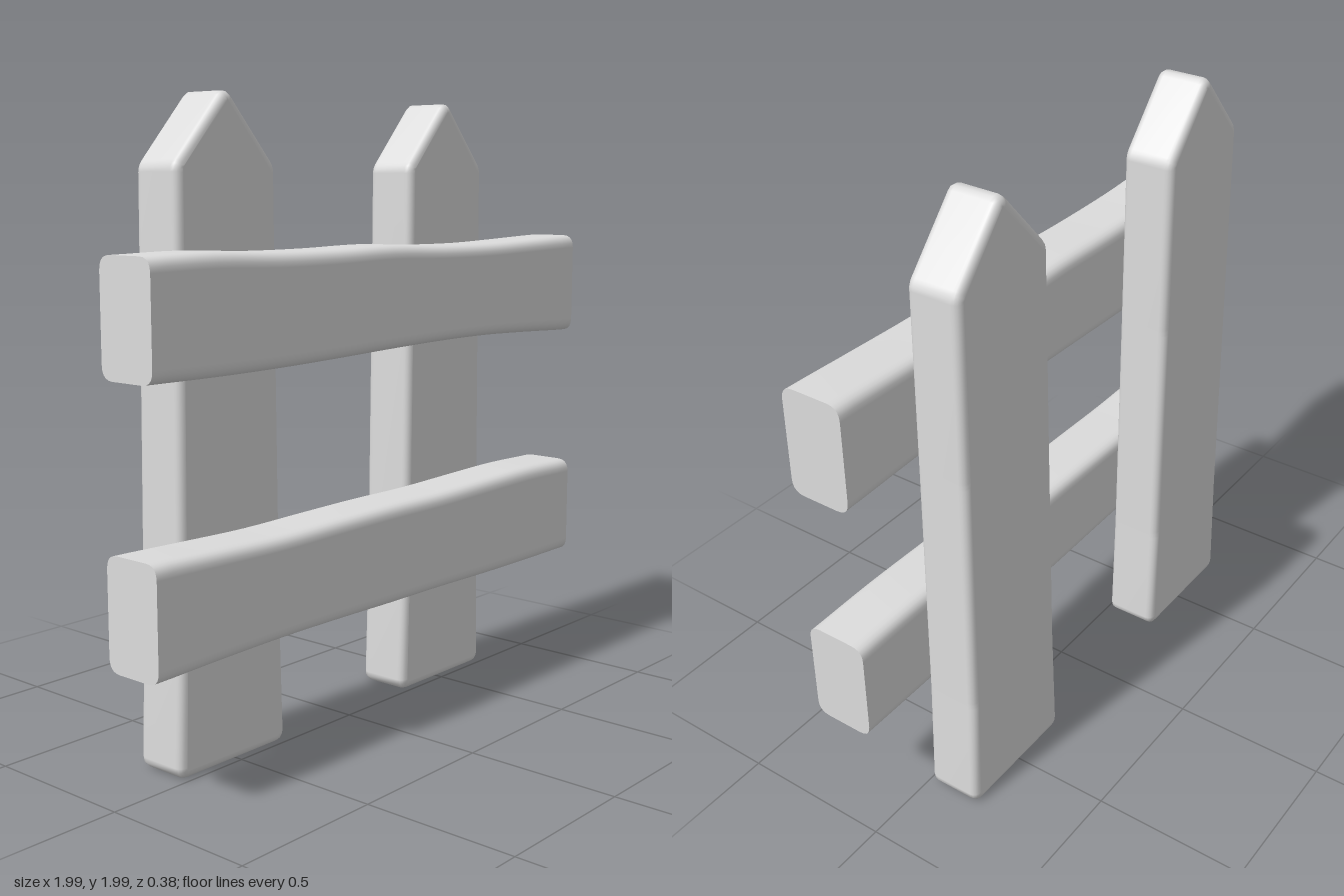
import * as THREE from 'three';
import { mergeVertices } from 'three/addons/utils/BufferGeometryUtils.js';

// Closed shape with every corner rounded by a cut of length r
function roundedShape(points, r) {
  const pts = points.map(([x, y]) => new THREE.Vector2(x, y));
  const shape = new THREE.Shape();
  pts.forEach((p, i) => {
    const prev = pts[(i + pts.length - 1) % pts.length];
    const next = pts[(i + 1) % pts.length];
    const a = p.clone().add(prev.clone().sub(p).setLength(r));
    const b = p.clone().add(next.clone().sub(p).setLength(r));
    if (i === 0) shape.moveTo(a.x, a.y);
    else shape.lineTo(a.x, a.y);
    shape.quadraticCurveTo(p.x, p.y, b.x, b.y);
  });
  shape.closePath();
  return shape;
}

// Area-weighted smooth normals; sharpCaps keeps the extrusion ends crisp
function smooth(geometry, sharpCaps) {
  geometry.deleteAttribute('normal');
  geometry.deleteAttribute('uv');
  const capCount = geometry.groups[0].count;
  if (sharpCaps) {
    const tag = new Float32Array(geometry.attributes.position.count).fill(1, 0, capCount);
    geometry.setAttribute('tag', new THREE.BufferAttribute(tag, 1));
  }
  geometry.clearGroups();
  const merged = mergeVertices(geometry, 1e-4);
  merged.deleteAttribute('tag');
  merged.computeVertexNormals();
  return merged;
}

// Pointed upright, slightly flared toward its foot
function picketGeometry() {
  const bevel = 0.025;
  const side = [[0.198, bevel], [0.187, 0.4], [0.179, 1.2], [0.175, 1.77]];
  const mirrored = side.map(([x, y]) => [-x, y]).reverse();
  const shape = roundedShape([...side, [0, 1.967], ...mirrored], 0.012);
  const geo = new THREE.ExtrudeGeometry(shape, {
    depth: 0.13, bevelSize: bevel, bevelThickness: bevel, bevelSegments: 4, curveSegments: 3,
  });
  geo.translate(0, 0, -0.165);
  const pos = geo.attributes.position;
  for (let i = 0; i < pos.count; i++) {
    if (pos.getZ(i) < -0.1) pos.setZ(i, pos.getZ(i) + 0.005 * pos.getY(i));
  }
  return smooth(geo, false);
}

// Rail with a rounded section whose top and bottom edges follow gentle waves
function railGeometry(top, bottom) {
  const curve = (heights) => new THREE.SplineCurve(
    heights.map((y, i) => new THREE.Vector2(-1 + (2 * i) / (heights.length - 1), y)));
  const topCurve = curve(top), bottomCurve = curve(bottom);
  const h = 0.167, w = 0.1, length = 1.99;
  const section = roundedShape([[-w, -h], [w, -h], [w, h], [-w, h]], 0.042);
  const geo = new THREE.ExtrudeGeometry(section, {
    depth: length, steps: 32, bevelEnabled: false, curveSegments: 5,
  });
  geo.rotateY(Math.PI / 2).translate(-length / 2, 0, 0.09);
  const pos = geo.attributes.position;
  for (let i = 0; i < pos.count; i++) {
    const u = THREE.MathUtils.clamp((pos.getX(i) + 1) / 2, 0, 1);
    const y = pos.getY(i), t = (y + h) / (2 * h);
    const low = bottomCurve.getPoint(u).y + h, high = topCurve.getPoint(u).y - h;
    pos.setY(i, y + THREE.MathUtils.lerp(low, high, t));
  }
  return smooth(geo, true);
}

export function createModel() {
  const group = new THREE.Group();
  group.name = 'fence';
  const paint = new THREE.MeshStandardMaterial({ color: 0xdcdcdc });
  paint.name = 'light grey';

  const add = (name, geometry, x = 0) => {
    const mesh = new THREE.Mesh(geometry, paint);
    mesh.name = name;
    mesh.position.x = x;
    group.add(mesh);
  };

  // Uprights
  const picket = picketGeometry();
  add('rightPicket', picket, -0.516);
  add('leftPicket', picket, 0.516);

  // Cross rails
  add('upperRail', railGeometry(
    [1.544, 1.547, 1.537, 1.536, 1.54, 1.531, 1.529, 1.536, 1.544],
    [1.21, 1.207, 1.208, 1.213, 1.22, 1.225, 1.225, 1.217, 1.207]));
  add('lowerRail', railGeometry(
    [0.736, 0.729, 0.723, 0.727, 0.73, 0.729, 0.735, 0.74, 0.735],
    [0.402, 0.41, 0.415, 0.414, 0.41, 0.408, 0.403, 0.401, 0.402]));

  return group;
}
